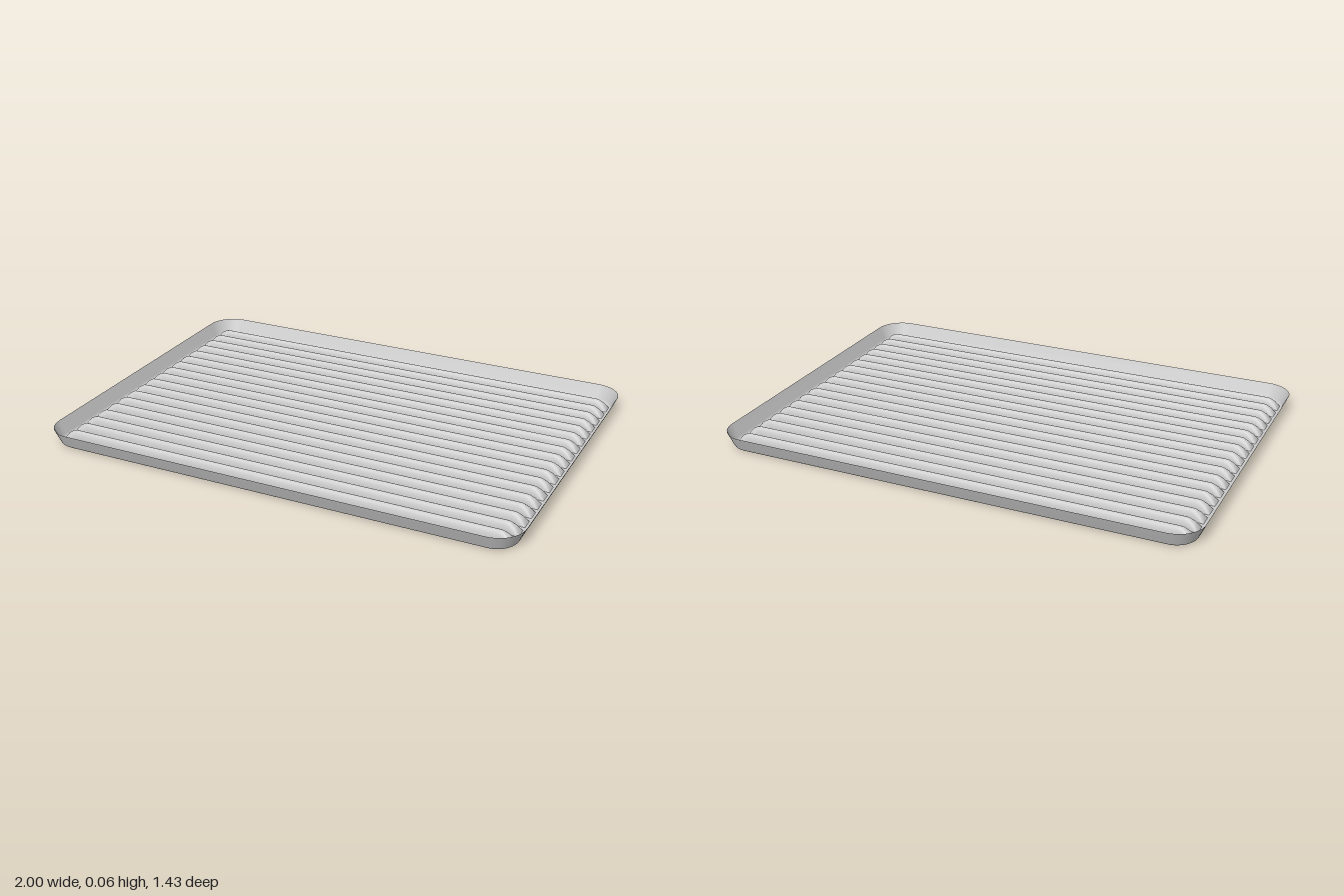
import * as THREE from 'three';

const material = new THREE.MeshStandardMaterial({ color: 0xcccccc, side: THREE.DoubleSide });

// Points around a rounded rectangle with half sizes a, b and corner radius r
function roundedLoop(a, b, r, steps = 10) {
  const points = [];
  const corners = [[1, 1], [-1, 1], [-1, -1], [1, -1]];
  corners.forEach(([sx, sy], q) => {
    for (let i = 0; i <= steps; i++) {
      const t = (q + i / steps) * Math.PI / 2;
      points.push(new THREE.Vector2(sx * (a - r) + r * Math.cos(t), sy * (b - r) + r * Math.sin(t)));
    }
  });
  return points;
}

// Smooth surface through equal-length cross-sections of Vector3
function loft(sections) {
  const n = sections[0].length, index = [];
  for (let s = 0; s < sections.length - 1; s++) {
    for (let i = 0; i < n - 1; i++) {
      const a = s * n + i, b = a + n;
      index.push(a, a + 1, b, b, a + 1, b + 1);
    }
  }
  const geometry = new THREE.BufferGeometry().setFromPoints(sections.flat());
  geometry.setIndex(index);
  geometry.computeVertexNormals();
  return geometry;
}

// Ridge stations: x, half width, height; the ends flare and slope to the floor
const halfRidge = [[0.905, 0.018, 0.042], [0.92, 0.021, 0.04], [0.94, 0.025, 0.029], [0.952, 0.026, 0.015], [0.96, 0.026, 0]];
const stations = [...halfRidge.map(([x, w, h]) => [-x, w, h]).reverse(), ...halfRidge];
const ridgeCount = 18, pitch = 0.0716;
const ridgeZ = Array.from({ length: ridgeCount }, (_, i) => (i - (ridgeCount - 1) / 2) * pitch);

export function createModel() {
  const group = new THREE.Group();
  const add = (name, geometry) => {
    const mesh = new THREE.Mesh(geometry, material);
    mesh.name = name;
    group.add(mesh);
    return mesh;
  };

  // Wall profile: offset inward from the rim, height; a small fillet meets the floor
  const profile = [[0.036, 0], [0.031, 0.001], [0.027, 0.004], [0.024, 0.009], [0, 0.064]];
  const loops = profile.map(([inset]) => roundedLoop(1 - inset, 0.713 - inset, 0.113 - inset));

  // Flat floor, open beneath each hollow ridge
  const floor = new THREE.Shape(loops[0]);
  for (const z of ridgeZ) {
    const lower = stations.map(([x, w]) => new THREE.Vector2(x, z - w));
    const upper = stations.map(([x, w]) => new THREE.Vector2(x, z + w)).reverse();
    floor.holes.push(new THREE.Path([...lower, ...upper]));
  }
  add('floor', new THREE.ShapeGeometry(floor).rotateX(-Math.PI / 2));

  // Flared thin wall around the floor
  add('wall', loft(loops.map((loop, i) =>
    [...loop, loop[0]].map(p => new THREE.Vector3(p.x, profile[i][1], -p.y)))));

  // Tall hollow ridges pressed up from the floor
  const arches = stations.map(([x, w, h]) => Array.from({ length: 13 }, (_, i) => {
    const t = i / 12 * Math.PI;
    return new THREE.Vector3(x, h * Math.sin(t), -w * Math.cos(t));
  }));
  const ridgeGeometry = loft(arches.reverse());
  for (const z of ridgeZ) add('ridge', ridgeGeometry).position.z = z;

  return group;
}
